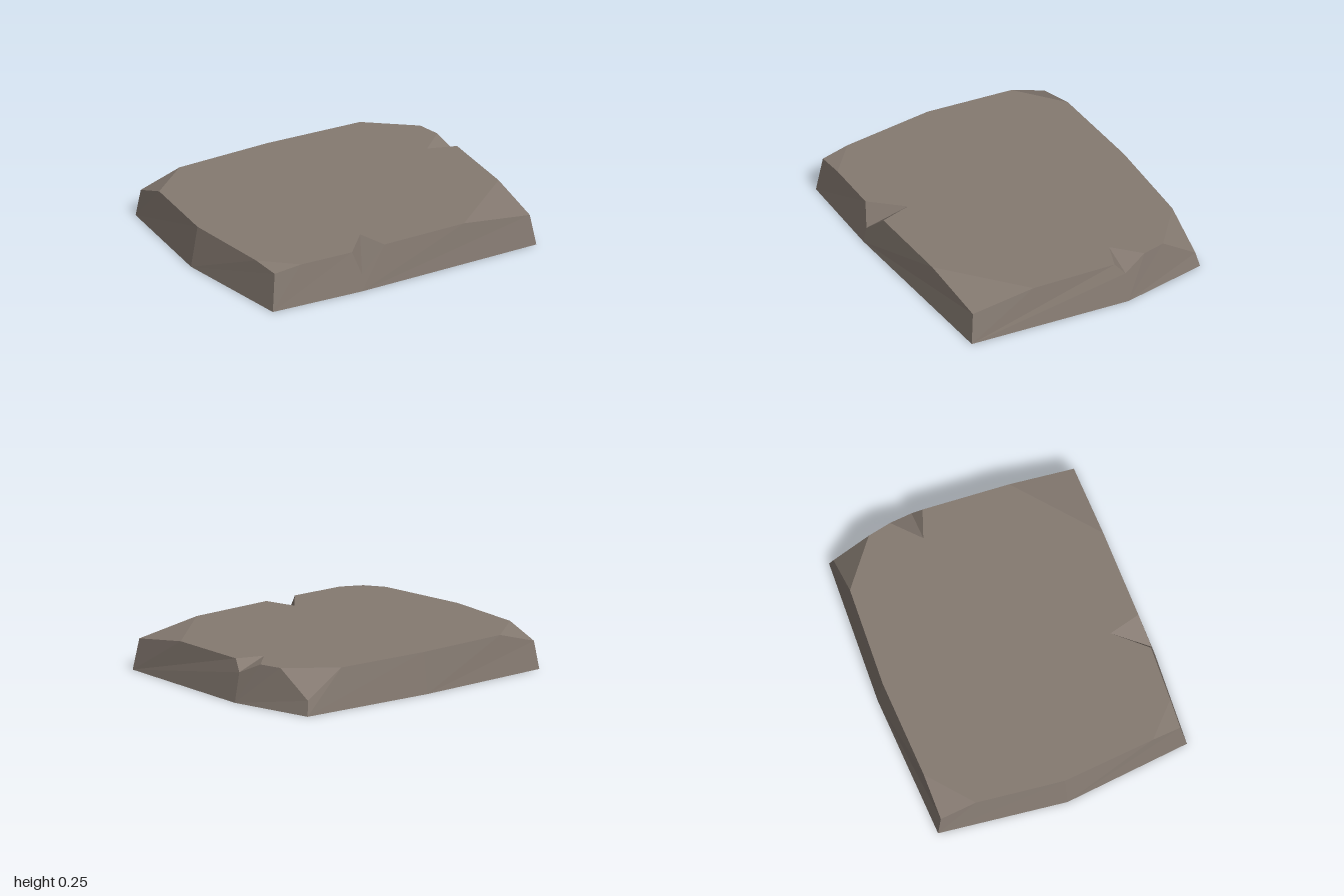
import * as THREE from 'three';

const H = 0.25; // height of the flat top

// Each side: a foot point [x, z] and the upper points [x, y, z] from above that
// foot up to the next one. Points below H are chipped corners, or notches when
// they also carry an inner tip [x, z].
const SIDES = [
  { foot: [-0.91, 0.79], upper: [[-0.88, 0.23, 0.76], [-0.7, H, 0.765], [-0.355, H, 0.775]] },
  { foot: [-0.31, 0.815], upper: [[-0.3, 0.1, 0.8, [-0.185, 0.585]], [-0.135, H, 0.78], [0.42, H, 0.77]] },
  { foot: [0.91, 0.785], upper: [[0.88, 0.19, 0.76], [0.905, H, 0.36], [0.94, H, -0.175]] },
  { foot: [1, -0.235], upper: [[0.965, 0.18, -0.235, [0.77, -0.235]], [0.93, H, -0.385], [0.9, H, -0.53]] },
  { foot: [0.905, -0.78], upper: [[0.885, 0.09, -0.76], [0.62, H, -0.757]] },
  { foot: [0, -0.82], upper: [[0, H, -0.787], [-0.62, H, -0.765]] },
  { foot: [-0.91, -0.785], upper: [[-0.89, 0.17, -0.76], [-0.895, H, -0.54]] },
  { foot: [-1, 0], upper: [[-0.955, H, 0], [-0.9, H, 0.58]] },
];

const vec = (p) => new THREE.Vector3(p[0], p[1], p[2]);

function facetMesh(name, triangles, material) {
  const geometry = new THREE.BufferGeometry().setFromPoints(triangles.flat());
  geometry.computeVertexNormals();
  const mesh = new THREE.Mesh(geometry, material);
  mesh.name = name;
  return mesh;
}

export function createModel() {
  const stone = new THREE.MeshStandardMaterial({ color: 0x857a71, flatShading: true, side: THREE.DoubleSide });
  stone.name = 'stone';
  const group = new THREE.Group();
  group.name = 'stoneSlab';

  // Sloping walls, open underneath
  const walls = [];
  SIDES.forEach((side, i) => {
    const next = SIDES[(i + 1) % SIDES.length];
    const a = vec([side.foot[0], 0, side.foot[1]]);
    const b = vec([next.foot[0], 0, next.foot[1]]);
    const rim = [...side.upper, next.upper[0]].map(vec);
    for (let k = 0; k < rim.length - 1; k++) walls.push([a, rim[k + 1], rim[k]]);
    walls.push([a, b, rim[rim.length - 1]]);
  });
  group.add(facetMesh('walls', walls, stone));

  // Chipped corners and notches; the rest of the rim outlines the flat top
  const ring = SIDES.flatMap((side) => side.upper);
  const chips = [], notches = [], outline = [];
  ring.forEach((p, i) => {
    if (p[1] === H) {
      outline.push(new THREE.Vector2(p[0], -p[2]));
      return;
    }
    const before = vec(ring[(i + ring.length - 1) % ring.length]);
    const after = vec(ring[(i + 1) % ring.length]);
    const low = vec(p);
    if (p[3]) {
      const tip = new THREE.Vector3(p[3][0], H, p[3][1]);
      notches.push([before, low, tip], [low, after, tip]);
      outline.push(new THREE.Vector2(tip.x, -tip.z));
    } else {
      chips.push([before, low, after]);
    }
  });
  group.add(facetMesh('chippedCorners', chips, stone));
  group.add(facetMesh('notches', notches, stone));

  // Flat top
  const top = new THREE.Mesh(new THREE.ShapeGeometry(new THREE.Shape(outline)), stone);
  top.geometry.rotateX(-Math.PI / 2).translate(0, H, 0);
  top.name = 'top';
  group.add(top);

  return group;
}
